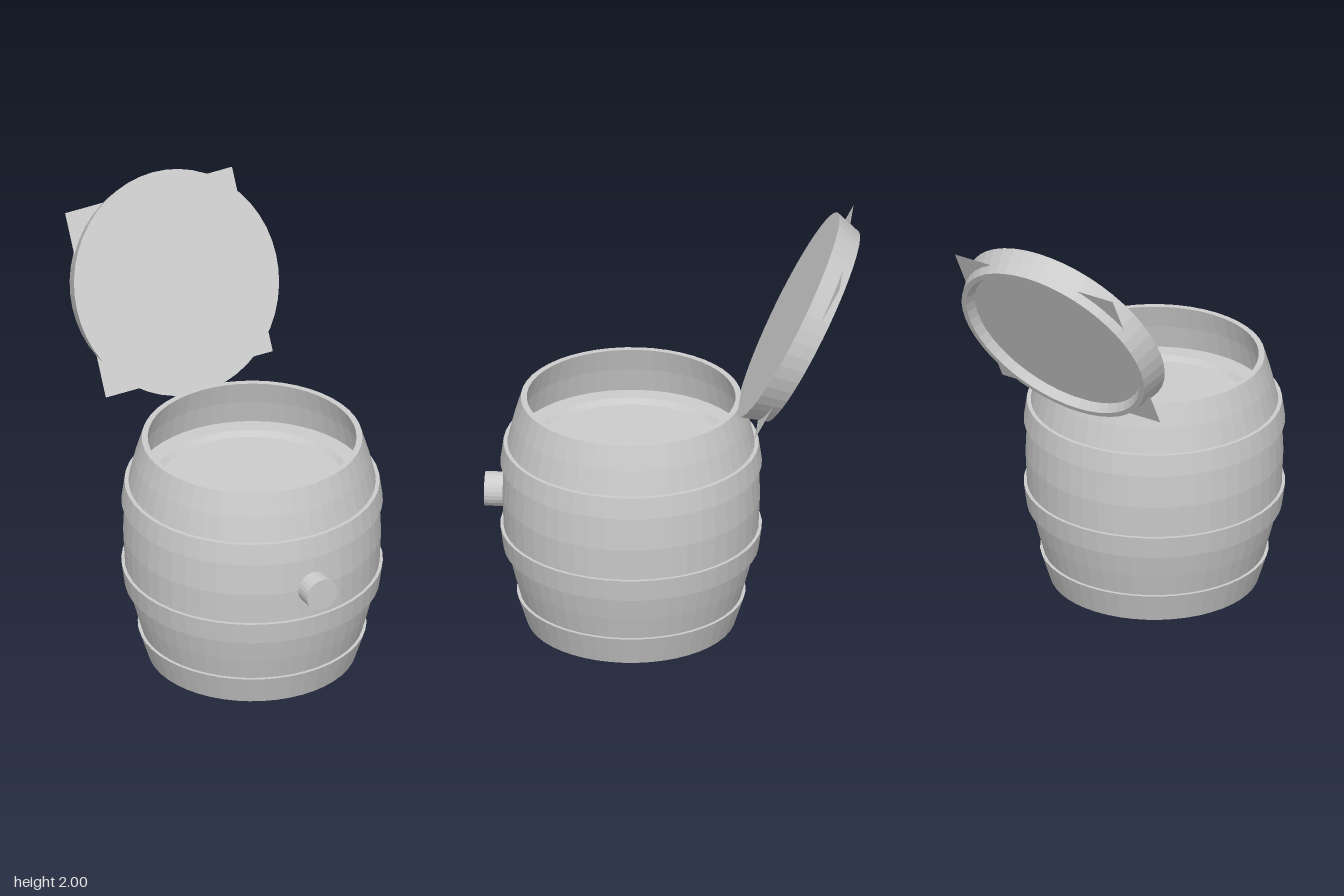
import * as THREE from 'three';

const SEGMENTS = 48;
const material = new THREE.MeshStandardMaterial({ color: 0xcccccc, flatShading: true, side: THREE.DoubleSide });

function addMesh(parent, name, geometry) {
  const mesh = new THREE.Mesh(geometry, material);
  mesh.name = name;
  parent.add(mesh);
  return mesh;
}

// Revolve [radius, height] pairs about the y axis
function revolve(points) {
  return new THREE.LatheGeometry(points.map(([r, y]) => new THREE.Vector2(r, y)), SEGMENTS);
}

export function createModel() {
  const model = new THREE.Group();
  model.name = 'openBarrel';

  const barrel = new THREE.Group();
  barrel.name = 'barrel';
  barrel.position.z = 0.186;
  model.add(barrel);

  // Hollow staves with the rim and a shallow ledge inside
  addMesh(barrel, 'staves', revolve([
    [0.495, 0.12], [0.5, 0.14], [0.53, 0.25], [0.557, 0.365], [0.574, 0.47], [0.581, 0.62],
    [0.574, 0.78], [0.557, 0.88], [0.53, 0.995], [0.497, 1.105],
    [0.47, 1.105], [0.503, 0.99], [0.528, 0.875], [0.45, 0.875], [0.43, 0.85],
  ]));

  // Inner surface of the barrel
  const floor = addMesh(barrel, 'innerFloor', new THREE.CircleGeometry(0.435, SEGMENTS));
  floor.rotation.x = -Math.PI / 2;
  floor.position.y = 0.85;

  // Two hoops around the belly
  addMesh(barrel, 'lowerHoop', revolve([
    [0.555, 0.365], [0.575, 0.365], [0.589, 0.47], [0.57, 0.47],
  ]));
  addMesh(barrel, 'upperHoop', revolve([
    [0.57, 0.78], [0.589, 0.78], [0.575, 0.88], [0.555, 0.88],
  ]));

  // Base hoop with a recessed bottom
  addMesh(barrel, 'baseHoop', revolve([
    [0, 0.04], [0.43, 0.04], [0.455, 0], [0.47, 0], [0.515, 0.14], [0.495, 0.14],
  ]));

  // Bung on the front
  const bung = addMesh(model, 'bung', new THREE.CylinderGeometry(0.078, 0.078, 0.12, 24));
  bung.rotation.x = Math.PI / 2;
  bung.position.set(0, 0.62, 0.785);

  // Tilted lid: tapered disc, hollow at the back
  const lid = new THREE.Group();
  lid.name = 'lid';
  lid.position.set(0, 1.544, -0.523);
  lid.rotation.x = 1.107;
  model.add(lid);
  addMesh(lid, 'lidShell', revolve([
    [0.43, -0.08], [0.45, -0.122], [0.475, -0.122], [0.511, 0], [0, 0],
  ]));

  // Square panel whose corners stick out of the lid
  const panel = addMesh(lid, 'lidPanel', new THREE.PlaneGeometry(0.856, 0.856));
  panel.rotation.x = -Math.PI / 2;
  panel.position.y = -0.08;

  return model;
}
